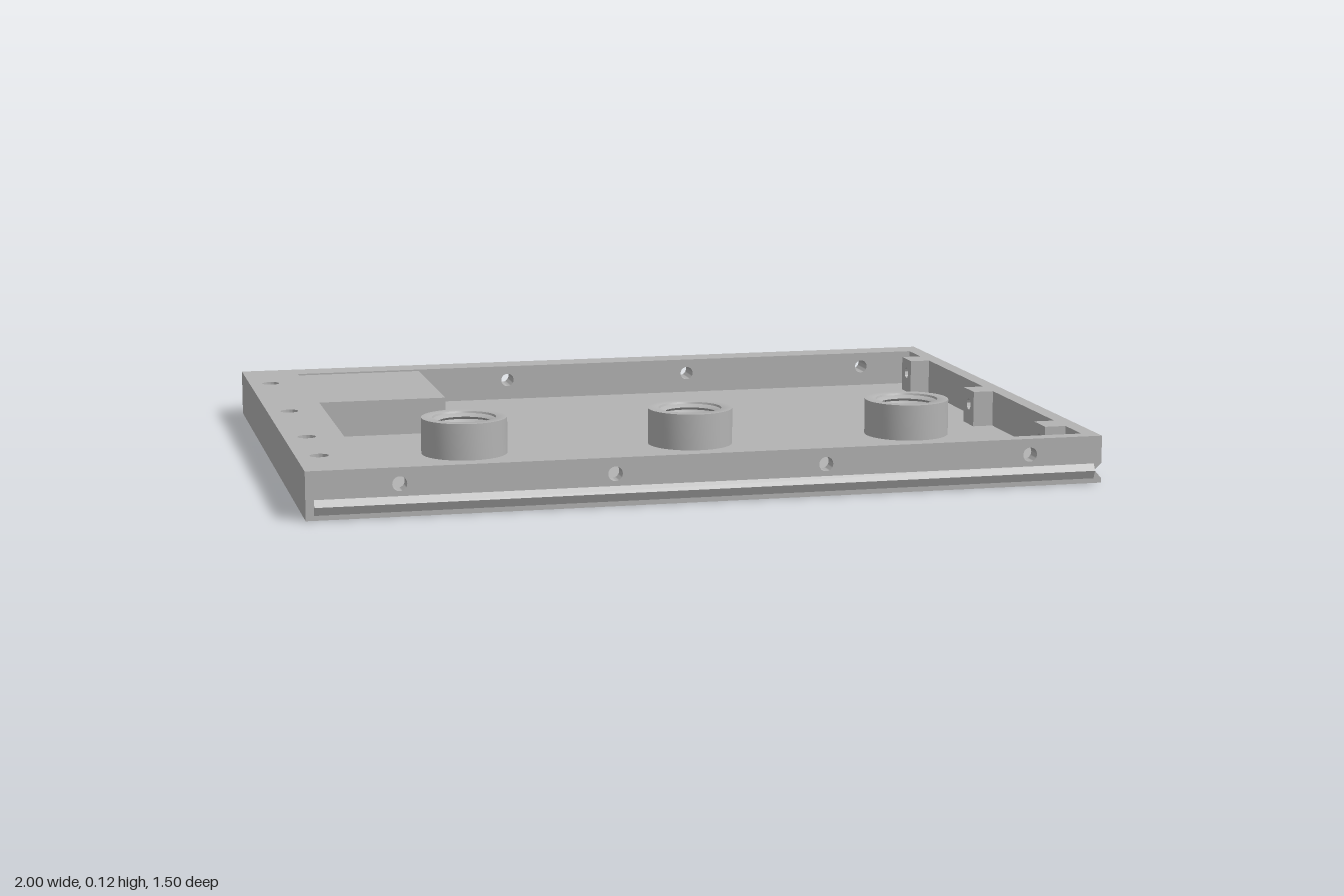
import * as THREE from 'three';
import { toCreasedNormals } from 'three/addons/utils/BufferGeometryUtils.js';

const H = 0.12, FLOOR = 0.025, SEAM = 0.05;
const X0 = -1, X1 = 1, Z0 = -0.75, Z1 = 0.74;          // outer body
const CX0 = -0.85, CX1 = 0.96, CZ0 = -0.67, CZ1 = 0.70; // cavity

export function createModel() {
  const group = new THREE.Group();
  const grey = new THREE.MeshStandardMaterial({ color: 0xb3b3b3 });
  grey.name = 'grey metal';

  const add = (name, geometry) => {
    const mesh = new THREE.Mesh(toCreasedNormals(geometry, 0.6), grey);
    mesh.name = name;
    group.add(mesh);
    return mesh;
  };
  const polygon = (pts) => new THREE.Shape(pts.map(([x, y]) => new THREE.Vector2(x, y)));
  const rect = (a, b, c, d) => polygon([[a, b], [c, b], [c, d], [a, d]]);
  const circle = (x, y, r) => new THREE.Path().absarc(x, y, r, 0, Math.PI * 2);
  const extrude = (shape, depth, holes = []) => {
    shape.holes.push(...holes);
    return new THREE.ExtrudeGeometry(shape, { depth, bevelEnabled: false, curveSegments: 16 });
  };
  // Plan shapes use (x, -z) and rise from y0 to y1
  const layer = (name, shape, y0, y1, holes) =>
    add(name, extrude(shape, y1 - y0, holes).rotateX(-Math.PI / 2).translate(0, y0, 0));
  // Side shapes use (-z, y) and run from x0 to x1
  const side = (name, shape, x0, x1, holes) =>
    add(name, extrude(shape, x1 - x0, holes).rotateY(Math.PI / 2).translate(x0, 0, 0));

  const bossX = [-0.51, 0.095, 0.695], bossZ = 0.105;
  const pocket = () => rect(-0.91, 0.265, -0.6, 0.575);

  // Floor with threaded openings and the underside pocket
  layer('floor', rect(X0, -Z1, CX1, -Z0), 0, FLOOR,
    [...bossX.map((x) => circle(x, -bossZ, 0.083)), pocket()]);

  // Front and back walls, drilled through
  const wallHoles = () => [-0.775, -0.25, 0.28, 0.81].map((x) => circle(x, 0.08, 0.018));
  for (const [name, z0, z1] of [['frontWall', CZ1, Z1], ['backWall', Z0, CZ0]]) {
    add(name, extrude(rect(X0, FLOOR, CX1, H), z1 - z0, wallHoles()).translate(0, 0, z0));
  }

  // Right wall: grooved lower rail, drilled upper wall, inner screw tabs
  const tabZ = [-0.53, 0.012, 0.552];
  add('groovedRail', extrude(polygon([
    [CX1, 0], [X1, 0], [X1, 0.012], [0.982, 0.033], [X1, SEAM], [CX1, SEAM],
  ]), Z1 - Z0).translate(0, 0, Z0));
  side('sideWall', rect(-Z1, SEAM, -Z0, H), CX1, X1, tabZ.map((z) => circle(-z, 0.08, 0.022)));
  for (const z of tabZ) {
    side('screwTab', rect(-z - 0.04, FLOOR, -z + 0.04, H), 0.905, CX1, [circle(-z, 0.08, 0.015)]);
  }

  // Tongue along the front face
  side('frontTongue', polygon([[-Z1, 0.012], [-Z1, SEAM], [-0.75, 0.033]]), -0.98, 0.98);

  // Wide ledge with the raised block, hollow below and drilled from above
  const ledge = () => polygon([
    [X0, -CZ0], [CX0, -CZ0], [CX0, 0.645], [-0.51, 0.645],
    [-0.51, 0.19], [CX0, 0.19], [CX0, -CZ1], [X0, -CZ1],
  ]);
  const ledgeHoles = () => [-0.53, -0.08, 0.295, 0.55].map((z) => circle(-0.942, -z, 0.023));
  layer('ledgeBase', ledge(), FLOOR, 0.065, [pocket()]);
  layer('ledgeMiddle', ledge(), 0.065, 0.105, [pocket(), ...ledgeHoles()]);
  layer('ledgeTop', ledge(), 0.105, H, ledgeHoles());

  // Threaded round bosses
  const profile = [[0.083, 0], [0.112, FLOOR - 0.001], [0.112, H], [0.083, H]];
  profile[0] = [0.112, FLOOR];
  profile.splice(1, 1);
  const turns = 7, pitch = (H - 0.01) / turns;
  for (let i = 0; i < turns; i++) {
    const y = H - 0.005 - i * pitch;
    profile.push([0.081, y], [0.069, y - pitch / 2]);
  }
  profile.push([0.081, 0.005], [0.075, 0], [0.083, 0]);
  const bossGeometry = new THREE.LatheGeometry(profile.map(([r, y]) => new THREE.Vector2(r, y)), 40);
  for (const x of bossX) add('threadedBoss', bossGeometry.clone()).position.set(x, 0, bossZ);

  return group;
}
